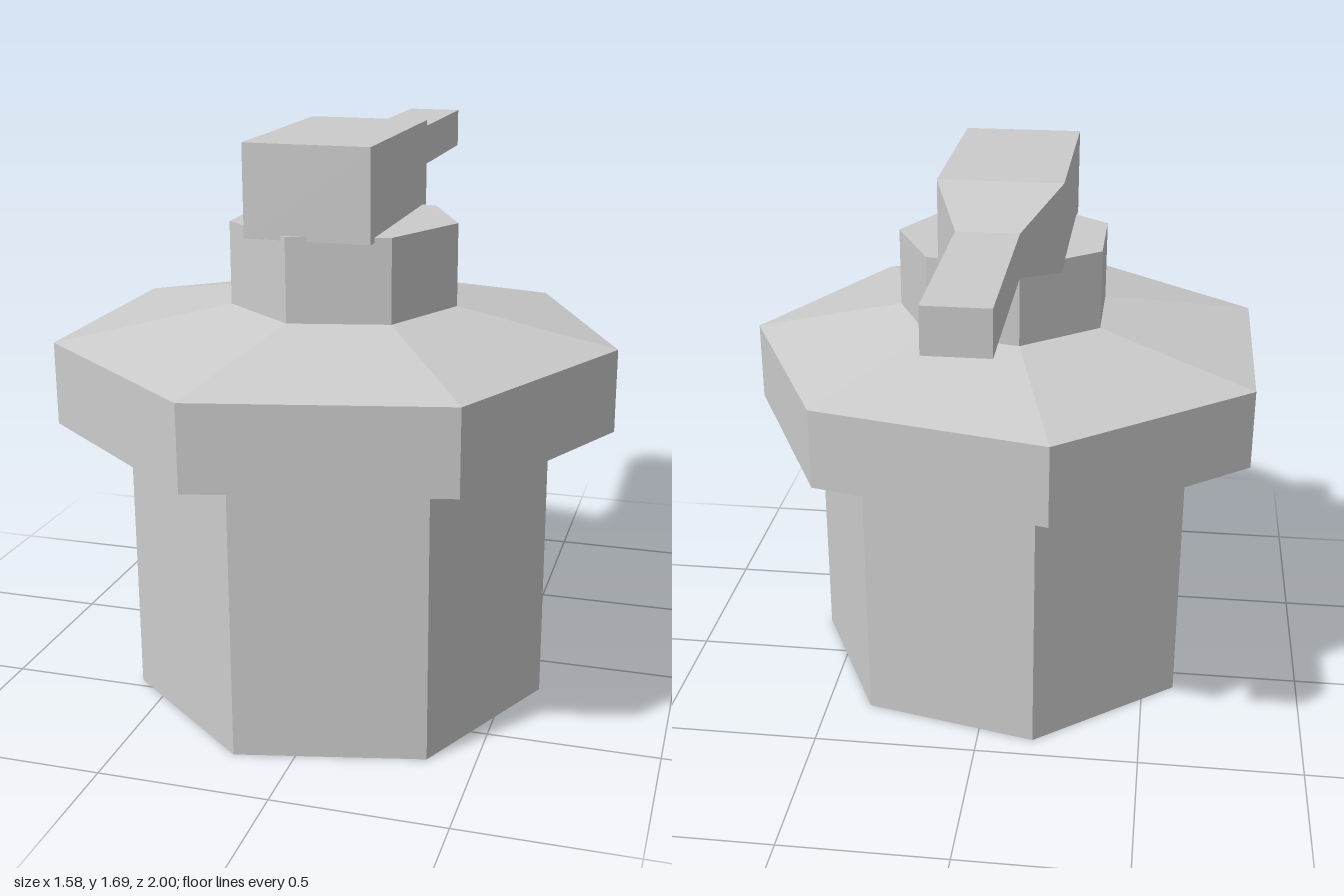
import * as THREE from 'three';

const material = new THREE.MeshStandardMaterial({ color: 0xcccccc, flatShading: true });

// Seven-sided turned part, one corner on +x; each ring is centred by its width.
function heptagonal(name, profile) {
  const points = profile.map(([r, y]) => new THREE.Vector2(r, y));
  const geometry = new THREE.LatheGeometry(points, 7, Math.PI / 2);
  const p = geometry.attributes.position;
  for (let i = 0; i < p.count; i++) {
    const r = Math.hypot(p.getX(i), p.getZ(i));
    p.setX(i, p.getX(i) - 0.0495 * r);
  }
  geometry.translate(0, 0, 0.19);
  geometry.computeVertexNormals();
  const mesh = new THREE.Mesh(geometry, material);
  mesh.name = name;
  return mesh;
}

// Box whose cross-section changes at stations along z, listed from back to front.
function taperedBar(name, stations) {
  const n = stations.length - 1;
  const geometry = new THREE.BoxGeometry(1, 1, 1, 1, 1, n);
  const p = geometry.attributes.position;
  for (let i = 0; i < p.count; i++) {
    const s = stations[Math.round((p.getZ(i) + 0.5) * n)];
    p.setXYZ(i, s.x[p.getX(i) < 0 ? 0 : 1], s.y[p.getY(i) < 0 ? 0 : 1], s.z);
  }
  geometry.computeVertexNormals();
  const mesh = new THREE.Mesh(geometry, material);
  mesh.name = name;
  return mesh;
}

export function createModel() {
  const model = new THREE.Group();
  model.name = 'valve';

  // Body, flared collar and neck as one closed shell
  model.add(heptagonal('body', [
    [0, 0], [0.632, 0], [0.632, 0.79],
    [0.831, 0.855], [0.831, 1.1],
    [0.337, 1.197], [0.337, 1.44], [0, 1.44],
  ]));

  // Lever: thin grip at the back, tapering up to a thick head
  const grip = { x: [-0.12, 0.055], y: [1.5, 1.625] };
  const head = { x: [-0.215, 0.148], y: [1.427, 1.69] };
  model.add(taperedBar('lever', [
    { ...grip, z: -1 }, { ...grip, z: -0.41 },
    { ...head, z: -0.13 }, { ...head, z: 0.505 },
  ]));

  return model;
}
